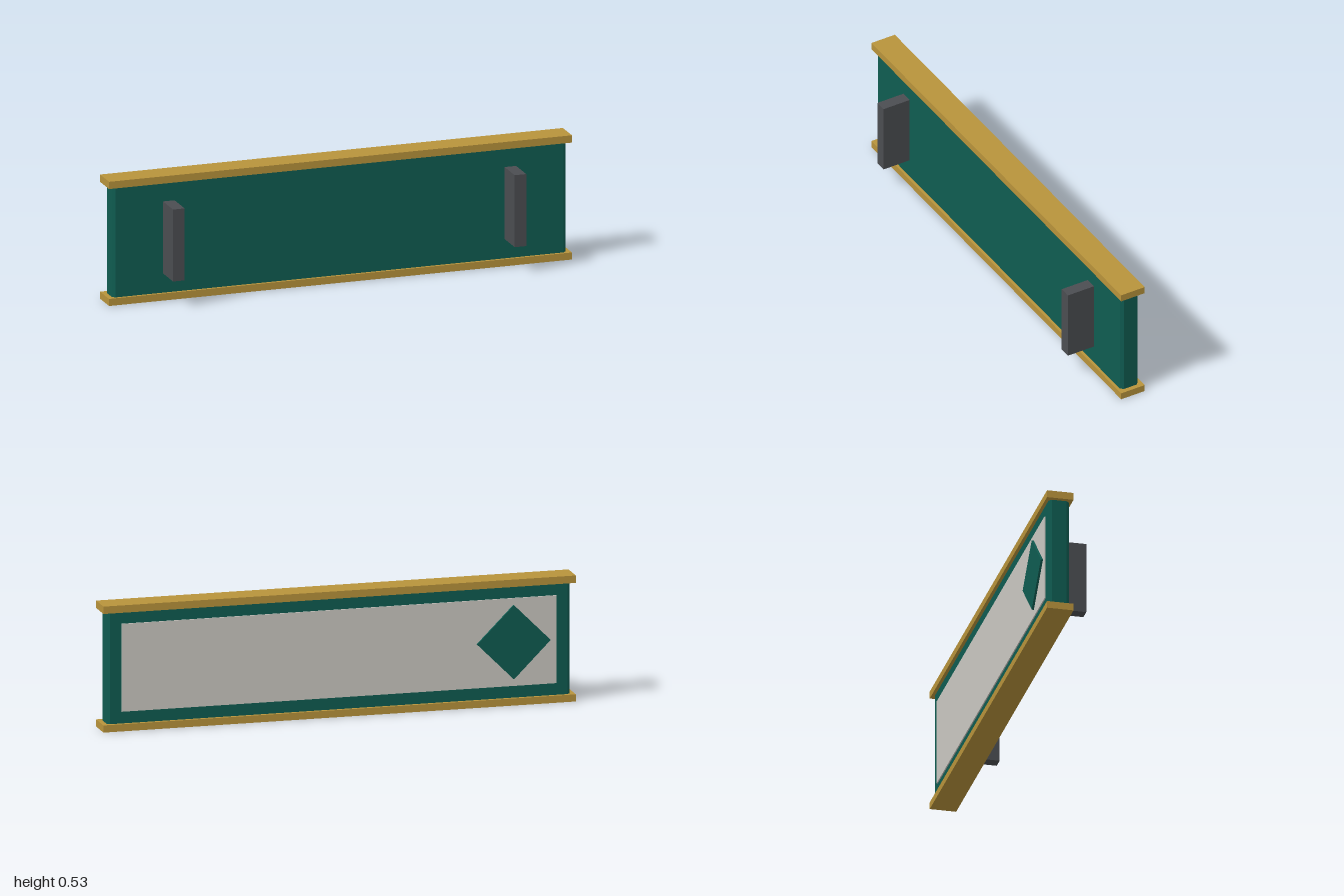
import * as THREE from 'three';

const mat = (name, color) => {
  const m = new THREE.MeshStandardMaterial({ color });
  m.name = name;
  return m;
};

export function createModel() {
  const model = new THREE.Group();
  const green = mat('deepGreen', 0x0f5c51);
  const brass = mat('brass', 0xb8933b);
  const grey = mat('darkGrey', 0x4b4d51);
  const pale = mat('paleGrey', 0xcbc8c2);

  const add = (name, geometry, material, x, y, z) => {
    const mesh = new THREE.Mesh(geometry, material);
    mesh.name = name;
    mesh.position.set(x, y, z);
    model.add(mesh);
    return mesh;
  };
  const box = (name, material, w, h, d, x, y, z) =>
    add(name, new THREE.BoxGeometry(w, h, d), material, x, y, z);

  // Board with chamfered upright edges: plan outline extruded upwards
  const w = 0.98, d = 0.0425, c = 0.012;
  const plan = new THREE.Shape([
    [-w + c, -d], [w - c, -d], [w, -d + c], [w, d - c],
    [w - c, d], [-w + c, d], [-w, d - c], [-w, -d + c],
  ].map(([x, y]) => new THREE.Vector2(x, y)));
  const board = new THREE.ExtrudeGeometry(plan, { depth: 0.469, bevelEnabled: false });
  board.rotateX(-Math.PI / 2);
  add('board', board, green, 0, 0.029, -0.0545);

  // Rails along the bottom and top
  box('bottomRail', brass, 2, 0.03, 0.111, 0, 0.015, -0.0555);
  box('topRail', brass, 2, 0.031, 0.111, 0, 0.5125, -0.0555);

  // Mounting brackets on the front
  for (const side of [-1, 1]) {
    box(side < 0 ? 'rightBracket' : 'leftBracket', grey, 0.05, 0.306, 0.126, side * 0.738, 0.265, 0.049);
  }

  // Pale panel and diamond on the back
  box('backPanel', pale, 1.84, 0.368, 0.006, 0, 0.264, -0.099);
  const diamond = box('diamond', green, 0.22, 0.22, 0.009, -0.738, 0.265, -0.1065);
  diamond.rotation.z = Math.PI / 4;

  return model;
}
